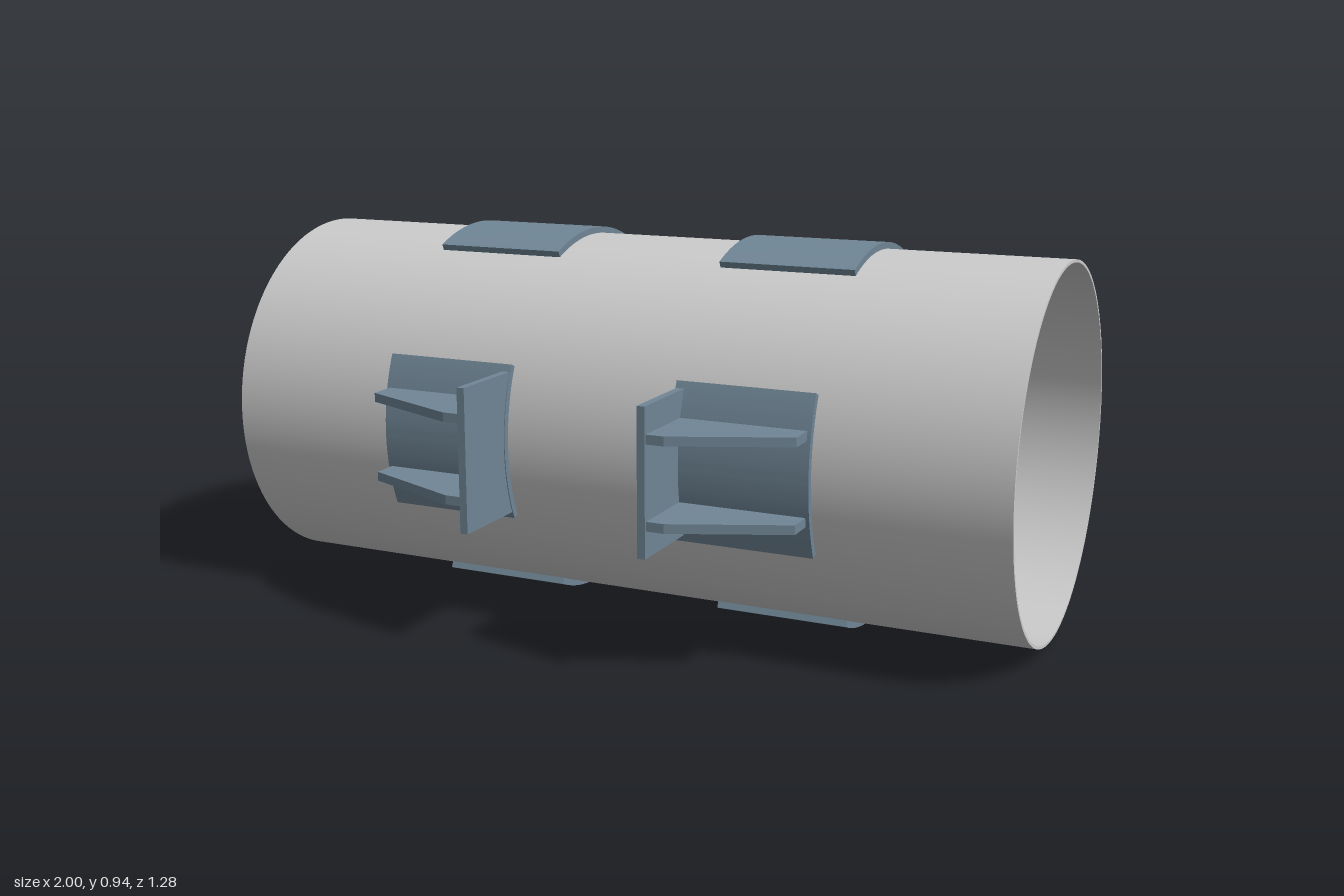
import * as THREE from 'three';
import { toCreasedNormals } from 'three/addons/utils/BufferGeometryUtils.js';

const PIPE_R = 0.452, PIPE_INNER = 0.445, PAD_R = 0.468;
const X0 = 0.215, X1 = 0.55; // pad extent along the pipe

// Extrude a (z, y) shape along x from x0 to x1
function extrudeX(shape, x0, x1, curveSegments) {
  const g = new THREE.ExtrudeGeometry(shape, { depth: x1 - x0, bevelEnabled: false, curveSegments });
  g.rotateY(-Math.PI / 2).translate(x1, 0, 0);
  return toCreasedNormals(g, 0.5);
}

function pipeGeometry() {
  const s = new THREE.Shape().absarc(0, 0, PIPE_R, 0, Math.PI * 2, false);
  s.holes.push(new THREE.Path().absarc(0, 0, PIPE_INNER, 0, Math.PI * 2, true));
  return extrudeX(s, -1, 1, 96);
}

// Curved saddle pad hugging the pipe, facing +z
function padGeometry() {
  const a = 0.415;
  const s = new THREE.Shape();
  s.absarc(0, 0, PAD_R, -a, a, false);
  s.absarc(0, 0, PIPE_R, a, -a, true);
  s.closePath();
  return extrudeX(s, X0, X1, 24);
}

// Upright plate whose inner edge follows the pad
function plateGeometry() {
  const h = 0.172, r = PAD_R - 0.003, a = Math.asin(h / r);
  const s = new THREE.Shape();
  s.moveTo(0.64, -h);
  s.lineTo(0.64, h);
  s.absarc(0, 0, r, a, -a, true);
  s.closePath();
  return extrudeX(s, X0 + 0.002, 0.236, 24);
}

// Tapered gusset, outlined in (x, z) and given thickness in y
function ribGeometry() {
  const t = 0.022;
  const s = new THREE.Shape([
    [0.234, 0.453], [0.541, 0.453], [0.541, 0.522], [0.278, 0.634], [0.234, 0.634],
  ].map(([x, z]) => new THREE.Vector2(x, z)));
  const g = new THREE.ExtrudeGeometry(s, { depth: t, bevelEnabled: false });
  return g.rotateX(Math.PI / 2).translate(0, t / 2, 0);
}

export function createModel() {
  const grey = new THREE.MeshStandardMaterial({ color: 0xcccccc });
  const steel = new THREE.MeshStandardMaterial({ color: 0x708696 });
  const model = new THREE.Group();
  model.name = 'pipeWithBrackets';

  const add = (parent, geometry, material, name) => {
    const mesh = new THREE.Mesh(geometry, material);
    mesh.name = name;
    parent.add(mesh);
    return mesh;
  };

  add(model, pipeGeometry(), grey, 'pipe');

  const pad = padGeometry(), plate = plateGeometry(), rib = ribGeometry();
  for (const end of [0, Math.PI]) {
    // One ring of four pads near each end; the other end is turned round
    const ring = new THREE.Group();
    ring.name = end ? 'rightRing' : 'leftRing';
    ring.rotation.y = end;
    model.add(ring);
    for (let i = 0; i < 4; i++) {
      const support = new THREE.Group();
      support.name = i % 2 ? 'saddlePad' : 'bracket';
      support.rotation.x = i * Math.PI / 2;
      ring.add(support);
      add(support, pad, steel, 'pad');
      if (i % 2) continue;
      // Front and back pads carry a plate and two gussets
      add(support, plate, steel, 'plate');
      for (const y of [-0.098, 0.098]) add(support, rib, steel, 'gusset').position.y = y;
    }
  }

  for (const part of model.children) part.position.y = PAD_R;
  return model;
}
